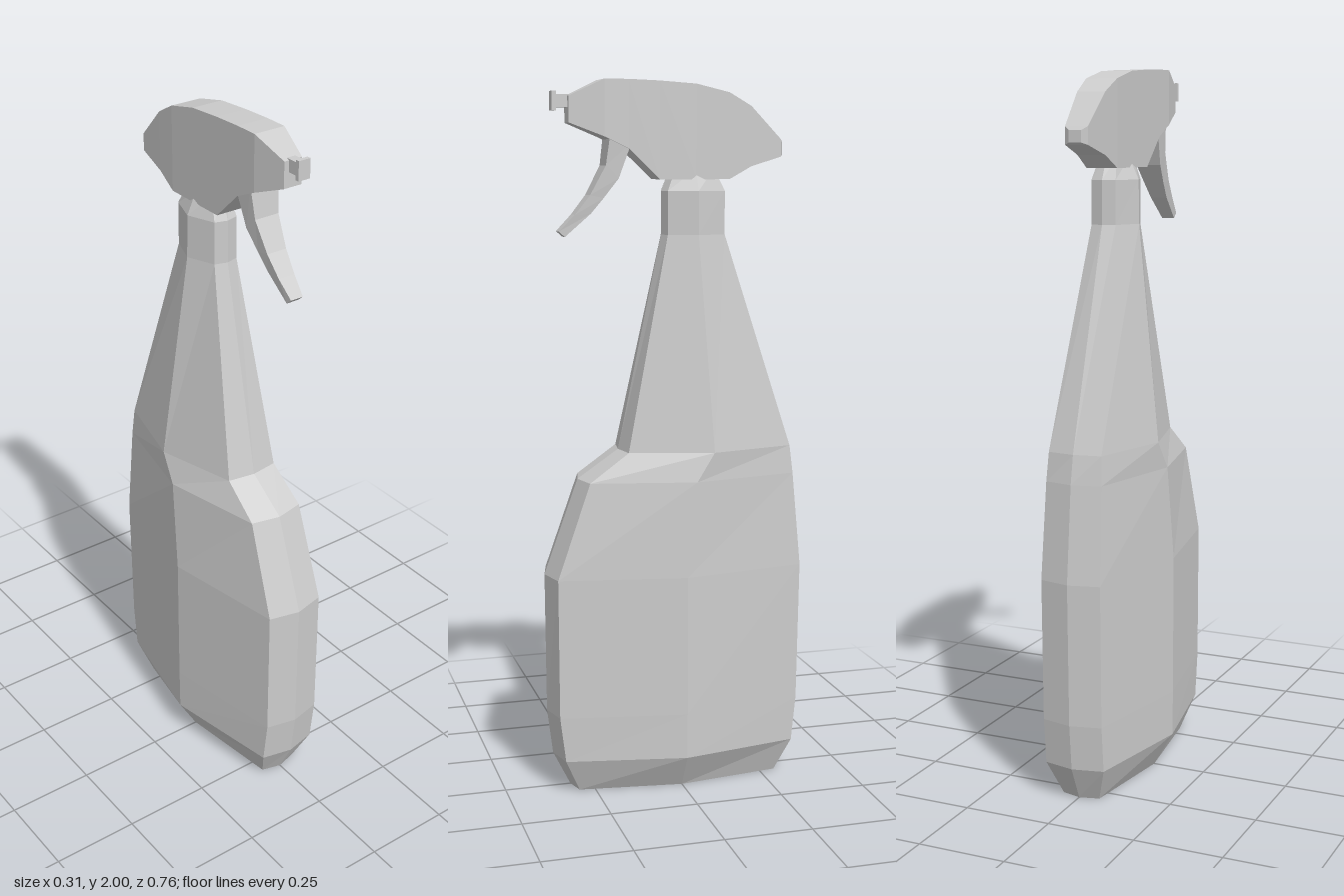
import * as THREE from 'three';

// Skin a list of equal-length rings (counter-clockwise about the direction of travel) and cap both ends
function loft(rings) {
  const n = rings[0].length, last = (rings.length - 1) * n, index = [];
  for (let r = 0; r < rings.length - 1; r++) {
    for (let i = 0; i < n; i++) {
      const a = r * n + i, b = r * n + (i + 1) % n;
      index.push(a, b, b + n, a, b + n, a + n);
    }
  }
  for (let i = 1; i < n - 1; i++) {
    index.push(0, i + 1, i, last, last + i, last + i + 1);
  }
  const geometry = new THREE.BufferGeometry();
  geometry.setAttribute('position', new THREE.Float32BufferAttribute(rings.flat(2), 3));
  geometry.setIndex(index);
  const flat = geometry.toNonIndexed();
  flat.computeVertexNormals();
  return flat;
}

export function createModel() {
  const model = new THREE.Group();
  model.name = 'sprayBottle';
  const plastic = new THREE.MeshStandardMaterial({ name: 'light grey plastic', color: 0xcccccc, flatShading: true });
  const add = (name, geometry) => {
    const mesh = new THREE.Mesh(geometry, plastic);
    mesh.name = name;
    model.add(mesh);
    return mesh;
  };

  // Bottle: eight-sided sections [y, front z, back z, side half width, corner half width, side z, bevel]
  const bottle = [
    [0, 0.31, -0.31, 0.095, 0.055, 0, 0.015],
    [0.1, 0.36, -0.357, 0.152, 0.088, 0, 0.02],
    [0.23, 0.376, -0.37, 0.153, 0.088, 0, 0.02],
    [0.63, 0.378, -0.378, 0.153, 0.088, 0, 0.021],
    [0.9, 0.28, -0.352, 0.145, 0.082, -0.03, 0.018],
    [0.98, 0.162, -0.337, 0.139, 0.078, -0.082, 0.012],
    [1.58, 0.035, -0.15, 0.068, 0.036, -0.055, 0.01],
    [1.7, 0.035, -0.15, 0.066, 0.036, -0.055, 0.01],
    [1.76, 0.01, -0.12, 0.038, 0.026, -0.055, 0.01],
  ];
  add('bottle', loft(bottle.map(([y, f, b, w, c, m, e]) => [
    [0, y, f], [c, y, f - e], [w, y, m], [c, y, b + e],
    [0, y, b], [-c, y, b + e], [-w, y, m], [-c, y, f - e],
  ])));

  // Spray head: upright rectangular sections from back to front [z, top y, bottom y, half width]
  const head = [
    [-0.314, 1.832, 1.8, 0.018],
    [-0.305, 1.842, 1.794, 0.033],
    [-0.215, 1.932, 1.767, 0.041],
    [-0.15, 1.968, 1.732, 0.046],
    [-0.055, 1.99, 1.732, 0.046],
    [0.05, 1.997, 1.732, 0.046],
    [0.137, 2, 1.815, 0.046],
    [0.205, 2, 1.847, 0.046],
    [0.3, 1.955, 1.884, 0.027],
  ];
  add('sprayHead', loft(head.map(([z, t, b, h]) => [[h, b, z], [h, t, z], [-h, t, z], [-h, b, z]])));

  // Trigger: curved tapering lever [front z, front y, back z, back y, half width]
  const trigger = [
    [0.188, 1.86, 0.13, 1.83, 0.044],
    [0.2, 1.77, 0.164, 1.735, 0.037],
    [0.243, 1.69, 0.205, 1.682, 0.03],
    [0.285, 1.637, 0.24, 1.64, 0.025],
    [0.329, 1.592, 0.312, 1.577, 0.019],
  ];
  add('trigger', loft(trigger.map(([fz, fy, bz, by, h]) => [[h, by, bz], [h, fy, fz], [-h, fy, fz], [-h, by, bz]])));

  // Nozzle: narrow stem with a wider tip
  const nozzle = [['nozzleStem', 0.026, 0.034, 0.05, 0.31], ['nozzleTip', 0.036, 0.052, 0.012, 0.338]];
  for (const [name, w, h, d, z] of nozzle) {
    add(name, new THREE.BoxGeometry(w, h, d)).position.set(0, 1.942, z);
  }
  return model;
}
